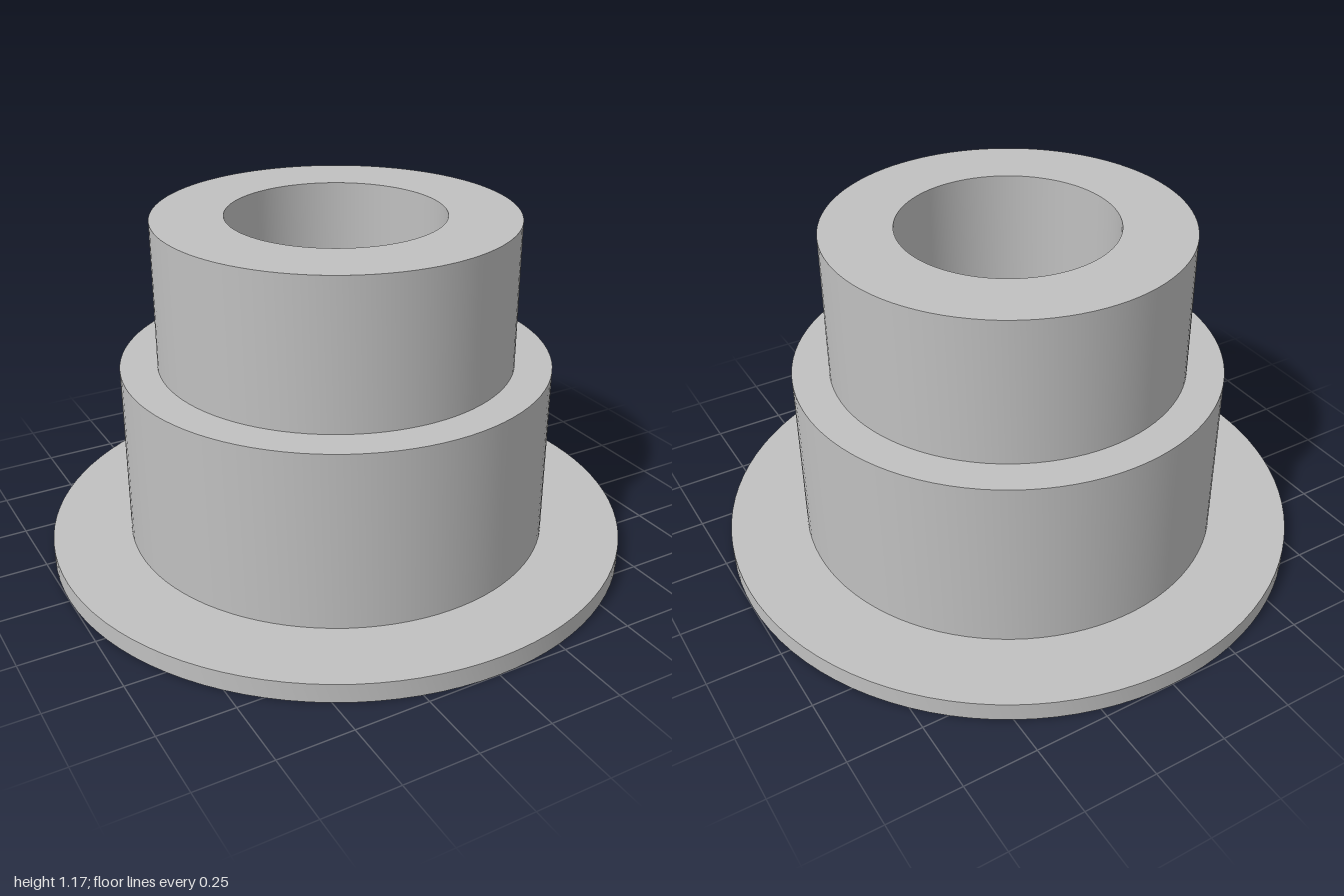
import * as THREE from 'three';
import { toCreasedNormals } from 'three/addons/utils/BufferGeometryUtils.js';

const BORE = 0.185, COUNTERBORE = 0.365, FLOOR = 0.5;

export function createModel() {
  const group = new THREE.Group();
  group.name = 'flangedBushing';
  const grey = new THREE.MeshStandardMaterial({ color: 0xc0c0c0 });
  grey.name = 'plain grey';

  // Turned surface from [radius, height] points, with sharp edges kept
  const turn = (name, points) => {
    const profile = points.map(([r, y]) => new THREE.Vector2(r, y));
    const geometry = toCreasedNormals(new THREE.LatheGeometry(profile, 96), Math.PI / 6);
    const mesh = new THREE.Mesh(geometry, grey);
    mesh.name = name;
    group.add(mesh);
  };

  // Thin base flange: underside, rim and upper ring
  turn('flange', [[BORE, 0], [1, 0], [1, 0.065], [0.73, 0.065]]);
  // Wide lower hub with its shoulder
  turn('lowerHub', [[0.73, 0.065], [0.73, 0.67], [0.605, 0.67]]);
  // Narrower upper collar with its top ring
  turn('upperCollar', [[0.605, 0.67], [0.605, 1.17], [COUNTERBORE, 1.17]]);
  // Stepped hole: wide recess above, narrow bore through the base
  turn('steppedBore', [[COUNTERBORE, 1.17], [COUNTERBORE, FLOOR], [BORE, FLOOR], [BORE, 0]]);

  return group;
}
